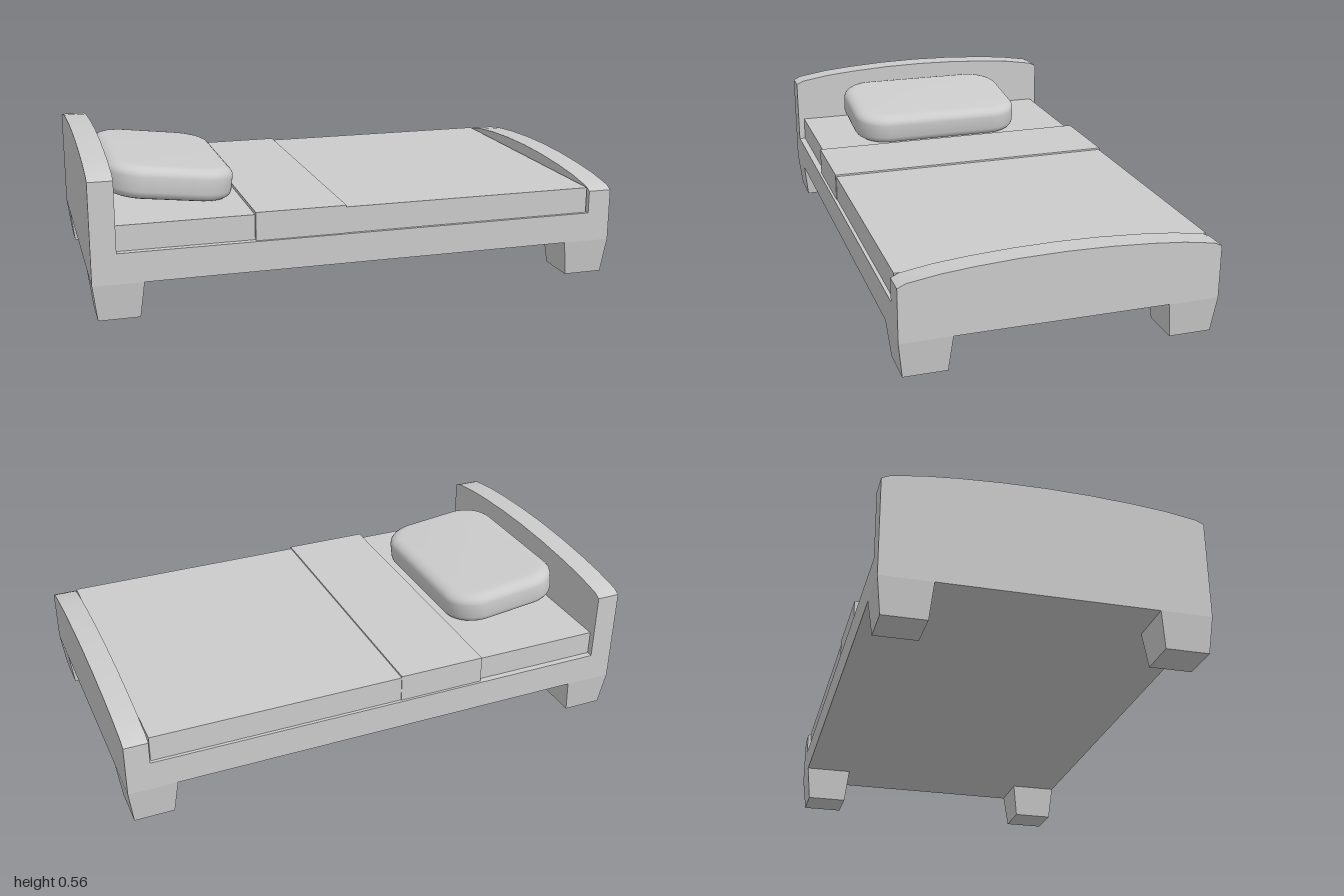
import * as THREE from 'three';
import { toCreasedNormals } from 'three/addons/utils/BufferGeometryUtils.js';

const HALF_W = 0.585, LEG_H = 0.135;
const material = new THREE.MeshStandardMaterial({ color: 0xcccccc });

export function createModel() {
  const bed = new THREE.Group();
  bed.name = 'bed';

  const add = (name, geometry, x = 0, y = 0, z = 0) => {
    const mesh = new THREE.Mesh(geometry, material);
    mesh.name = name;
    mesh.position.set(x, y, z);
    bed.add(mesh);
    return mesh;
  };

  // Box given by its x range, y range and half depth
  const slab = (name, x0, x1, y0, y1, halfZ) =>
    add(name, new THREE.BoxGeometry(x1 - x0, y1 - y0, halfZ * 2), (x0 + x1) / 2, (y0 + y1) / 2);

  // End board with a gently arched top, extruded along x
  const board = (name, x0, edgeY) => {
    const arch = [[HALF_W, 0], [0.555, 0.014], [0.44, 0.032], [0.32, 0.043], [0.16, 0.052], [0, 0.055]];
    const right = arch.map(([z, h]) => new THREE.Vector2(z, edgeY + h));
    const left = right.slice(0, -1).reverse().map((p) => new THREE.Vector2(-p.x, p.y));
    const shape = new THREE.Shape([
      new THREE.Vector2(-HALF_W, LEG_H), new THREE.Vector2(HALF_W, LEG_H), ...right, ...left,
    ]);
    const geometry = new THREE.ExtrudeGeometry(shape, { depth: 0.09, bevelEnabled: false });
    geometry.rotateY(Math.PI / 2);
    add(name, toCreasedNormals(geometry, 0.3), x0);
  };

  // Frame
  slab('frame', -0.91, 0.91, LEG_H, 0.248, HALF_W);
  board('headboard', -1, 0.51);
  board('footboard', 0.91, 0.335);

  // Tapered legs
  for (const sx of [-1, 1]) {
    for (const sz of [-1, 1]) {
      const leg = new THREE.BoxGeometry(0.184, LEG_H, 0.19);
      const p = leg.attributes.position;
      for (let i = 0; i < p.count; i++) {
        if (p.getY(i) < 0) p.setXYZ(i, p.getX(i) * 0.82, p.getY(i), p.getZ(i) * 0.84);
      }
      leg.computeVertexNormals();
      add('leg', leg, sx * 0.908, LEG_H / 2, sz * 0.49);
    }
  }

  // Bedding
  slab('mattress', -0.91, 0.905, 0.248, 0.342, 0.56);
  slab('blanket', -0.07, 0.905, 0.248, 0.347, 0.572);
  slab('blanketFold', -0.41, -0.07, 0.248, 0.354, 0.575);

  // Pillow: rounded rectangle with soft bevels, leaning on the headboard
  const bevel = 0.05, w = 0.24 - bevel, d = 0.365 - bevel, r = 0.085;
  const outline = new THREE.Shape();
  outline.moveTo(w, -d + r);
  outline.absarc(w - r, d - r, r, 0, Math.PI / 2);
  outline.absarc(-w + r, d - r, r, Math.PI / 2, Math.PI);
  outline.absarc(-w + r, -d + r, r, Math.PI, Math.PI * 1.5);
  outline.absarc(w - r, -d + r, r, Math.PI * 1.5, Math.PI * 2);
  const cushion = new THREE.ExtrudeGeometry(outline, {
    depth: 0.055, bevelSize: bevel, bevelThickness: 0.035, bevelSegments: 5, curveSegments: 8,
  });
  cushion.translate(0, 0, -0.0275);
  cushion.rotateX(-Math.PI / 2);
  const pillow = add('pillow', toCreasedNormals(cushion, 0.7), -0.67, 0.422, 0.025);
  pillow.rotation.z = -0.12;

  return bed;
}
